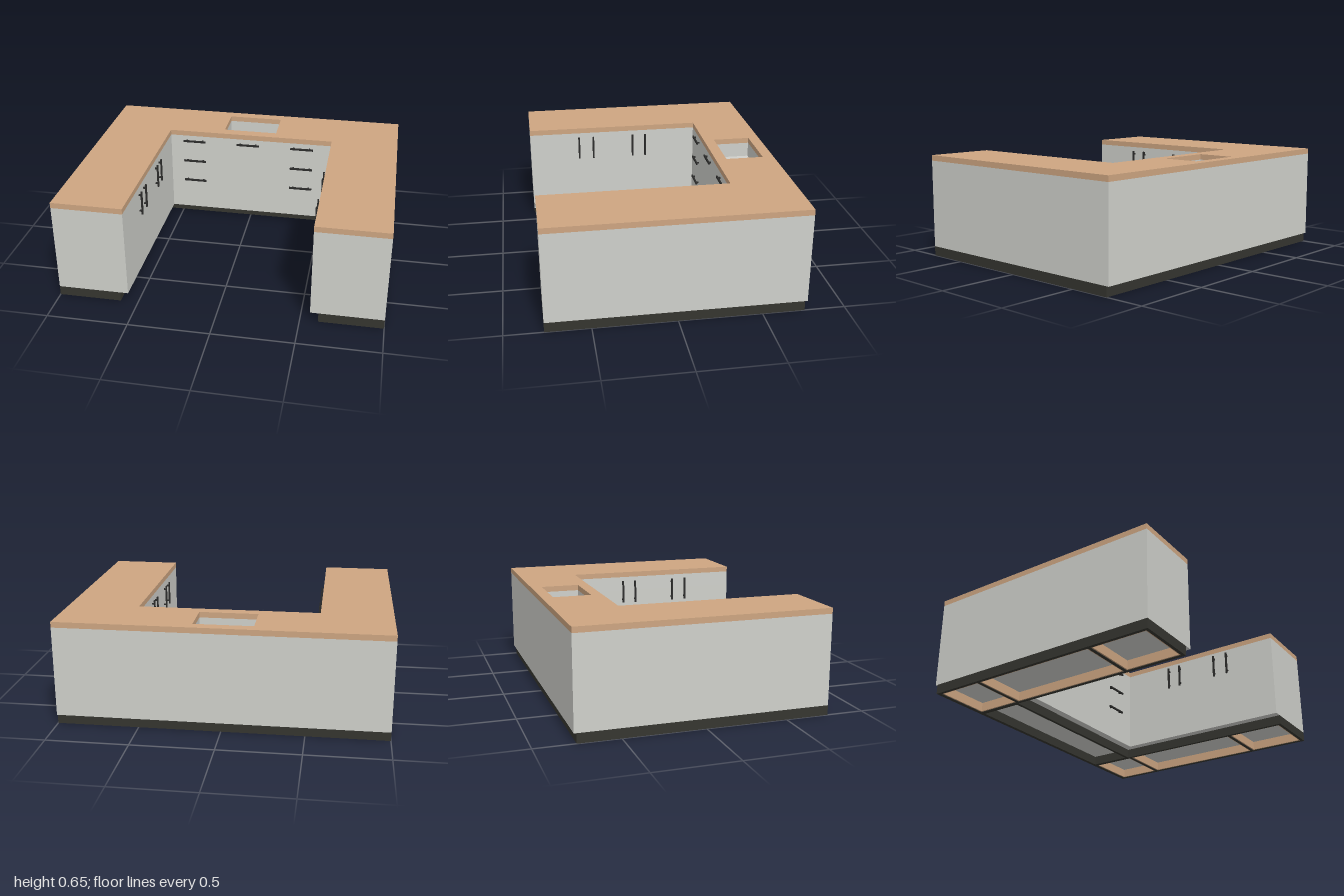
import * as THREE from 'three';

const mat = (name, color) => {
  const m = new THREE.MeshStandardMaterial({ color });
  m.name = name;
  return m;
};

export function createModel() {
  const group = new THREE.Group();
  const wood = mat('wood', 0xcda581);
  const cabinet = mat('cabinet grey', 0xcfd0cb);
  const dark = mat('plinth dark', 0x35352f);
  const metal = mat('handle dark', 0x2b2b2a);

  const add = (name, geo, material, parent = group) => {
    const mesh = new THREE.Mesh(geo, material);
    mesh.name = name;
    parent.add(mesh);
    return mesh;
  };
  const box = (name, x0, x1, y0, y1, z0, z1, material, parent) =>
    add(name, new THREE.BoxGeometry(x1 - x0, y1 - y0, z1 - z0), material, parent)
      .position.set((x0 + x1) / 2, (y0 + y1) / 2, (z0 + z1) / 2);

  // U-shaped slab in plan, with rectangular holes [x0, x1, z0, z1]
  const slab = (name, inner, innerZ, back, y0, y1, holes, material) => {
    const pts = [[-1, 0.77], [-inner, 0.77], [-inner, innerZ], [inner, innerZ],
      [inner, 0.77], [1, 0.77], [1, back], [-1, back]];
    const toVec = ([x, z]) => new THREE.Vector2(x, -z);
    const shape = new THREE.Shape(pts.map(toVec));
    for (const [a, b, c, d] of holes) {
      shape.holes.push(new THREE.Path([[a, c], [b, c], [b, d], [a, d]].map(toVec)));
    }
    const geo = new THREE.ExtrudeGeometry(shape, { depth: y1 - y0, bevelEnabled: false });
    geo.rotateX(-Math.PI / 2).translate(0, y0, 0);
    add(name, geo, material);
  };

  // Worktop and cabinets, with the sink cut into the upper layers
  const sink = [-0.19, 0.17, -0.7, -0.46];
  slab('worktop', 0.56, -0.39, -0.77, 0.615, 0.65, [sink], wood);
  slab('upperCabinets', 0.56, -0.39, -0.77, 0.52, 0.615, [sink], cabinet);
  slab('lowerCabinets', 0.56, -0.39, -0.77, 0.06, 0.52, [], cabinet);

  // Hollow plinth: three cells under each wing and one under the back run
  const cells = [];
  for (const s of [-1, 1]) {
    for (const [z0, z1] of [[0.39, 0.75], [-0.42, 0.37], [-0.73, -0.44]]) {
      cells.push([Math.min(s * 0.63, s * 0.98), Math.max(s * 0.63, s * 0.98), z0, z1]);
    }
  }
  slab('plinth', 0.61, -0.44, -0.755, 0, 0.06, [...cells, [-0.6, 0.6, -0.73, -0.46]], dark);

  // Bare wood linings inside the wing cells
  const t = 0.008;
  for (const [x0, x1, z0, z1] of cells) {
    const lining = new THREE.Group();
    lining.name = 'plinthLining';
    group.add(lining);
    box('liningSide', x0, x0 + t, 0.003, 0.06, z0, z1, wood, lining);
    box('liningSide', x1 - t, x1, 0.003, 0.06, z0, z1, wood, lining);
    box('liningEnd', x0 + t, x1 - t, 0.003, 0.06, z0, z0 + t, wood, lining);
    box('liningEnd', x0 + t, x1 - t, 0.003, 0.06, z1 - t, z1, wood, lining);
  }

  // Bar handle lying along x and standing off towards +z
  const handle = (name, x, y, z, turn, roll) => {
    const h = new THREE.Group();
    h.name = name;
    box('bar', -0.078, 0.078, -0.006, 0.006, 0.012, 0.022, metal, h);
    for (const px of [-0.055, 0.055]) {
      box('post', px - 0.005, px + 0.005, -0.005, 0.005, -0.002, 0.013, metal, h);
    }
    h.rotation.set(0, turn, roll);
    h.position.set(x, y, z);
    group.add(h);
  };

  // Drawer handles on the back run
  for (const x of [-0.39, 0.36]) {
    for (const y of [0.58, 0.43, 0.28]) handle('drawerHandle', x, y, -0.39, 0, 0);
  }
  handle('sinkCabinetHandle', -0.015, 0.58, -0.39, 0, 0);

  // Upright door handles facing inwards on both wings
  for (const s of [-1, 1]) {
    for (const z of [-0.04, 0.05, 0.33, 0.43]) {
      handle('doorHandle', s * 0.56, 0.51, z, -s * Math.PI / 2, Math.PI / 2);
    }
  }
  return group;
}
